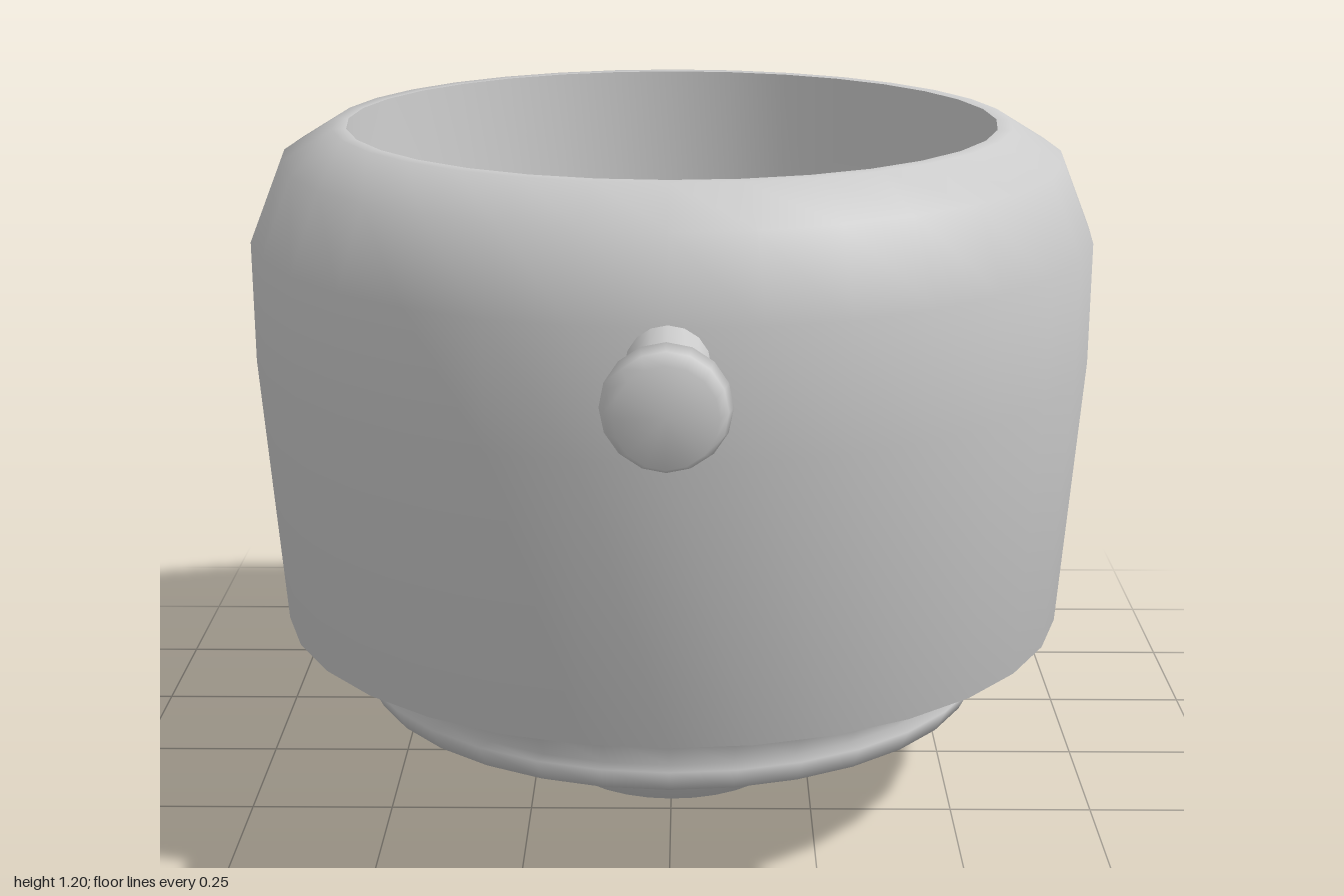
import * as THREE from 'three';

const material = new THREE.MeshStandardMaterial({ color: 0xcccccc });

// Smooth turned part from [radius, height] pairs
function turned(name, profile, segments) {
  const points = profile.map(([r, y]) => new THREE.Vector2(r, y));
  const mesh = new THREE.Mesh(new THREE.LatheGeometry(points, segments), material);
  mesh.name = name;
  return mesh;
}

export function createModel() {
  const model = new THREE.Group();
  model.name = 'pot';

  // Shallow dish under the foot
  model.add(turned('footDish', [[0, 0.03], [0.08, 0.025], [0.15, 0]], 32));

  // Foot, stepped collar, wall and rounded shoulder
  model.add(turned('outerWall', [
    [0.15, 0], [0.21, 0], [0.265, 0.05], [0.315, 0.11], [0.355, 0.18],
    [0.555, 0.18], [0.575, 0.22], [0.545, 0.22],
    [0.575, 0.28], [0.605, 0.28], [0.62, 0.32],
    [0.7, 0.32], [0.735, 0.8], [0.735, 1.01], [0.68, 1.145], [0.59, 1.2],
    [0.565, 1.2],
  ], 32));

  // Cavity, narrowing to a rounded floor
  model.add(turned('cavity', [
    [0.565, 1.2], [0.54, 0.75], [0.5, 0.5], [0.42, 0.34],
    [0.3, 0.22], [0.15, 0.14], [0, 0.12],
  ], 32));

  // Pegs with flared caps, front and back
  for (const side of [1, -1]) {
    const peg = turned(side > 0 ? 'frontPeg' : 'backPeg', [
      [0.065, 0.68], [0.065, 0.945], [0.095, 0.945],
      [0.088, 0.97], [0.075, 1], [0, 1],
    ], 16);
    peg.rotation.x = side * Math.PI / 2;
    peg.position.y = 0.95;
    model.add(peg);
  }
  return model;
}
